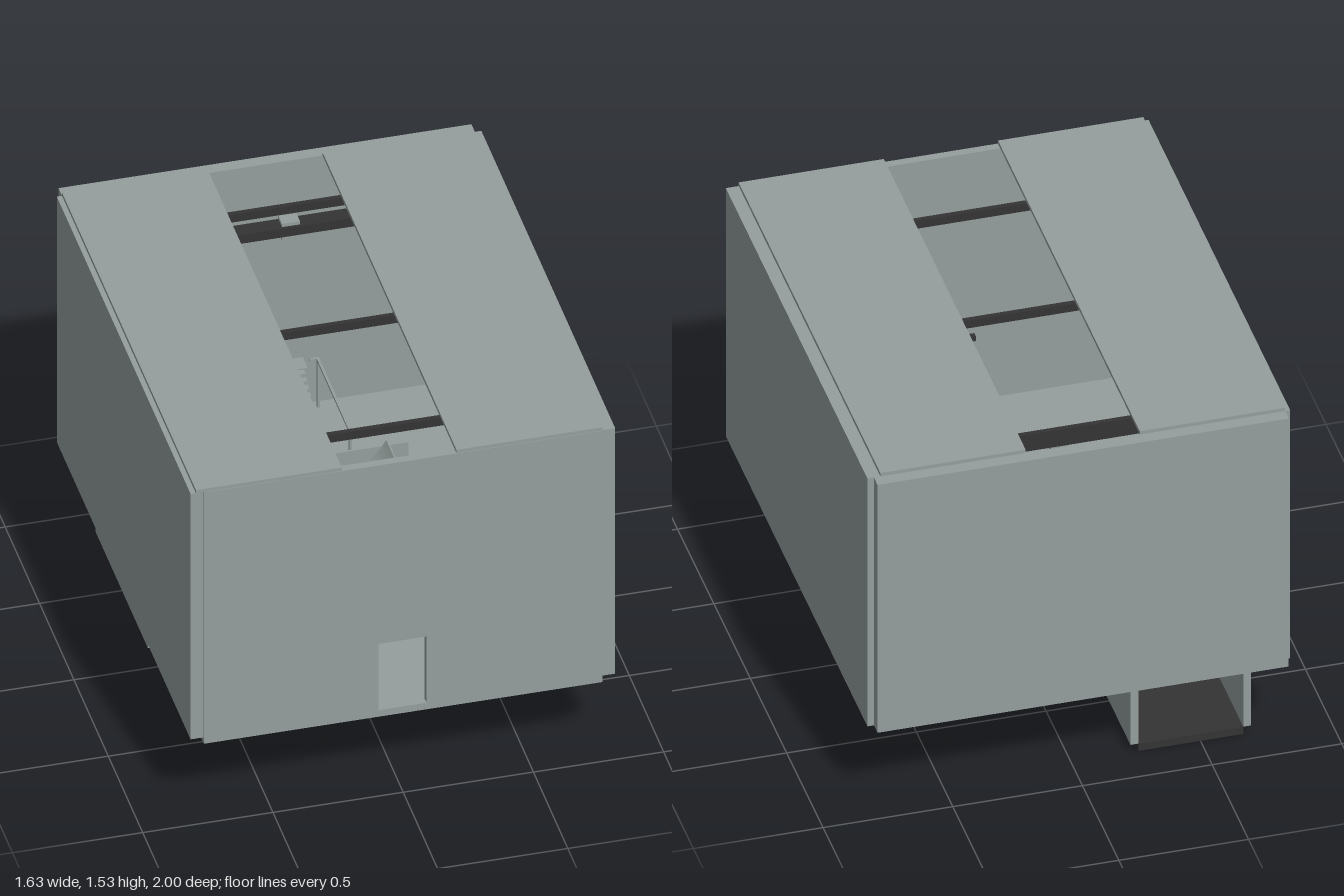
import * as THREE from 'three';

export function createModel() {
  const model = new THREE.Group();
  const concrete = new THREE.MeshStandardMaterial({ color: 0x959f9d });
  concrete.name = 'concrete grey';
  const steel = new THREE.MeshStandardMaterial({ color: 0x343434 });
  steel.name = 'dark steel';

  // Box given by its limits on each axis
  function block(name, x0, x1, y0, y1, z0, z1, material = concrete) {
    const mesh = new THREE.Mesh(new THREE.BoxGeometry(x1 - x0, y1 - y0, z1 - z0), material);
    mesh.position.set((x0 + x1) / 2, (y0 + y1) / 2, (z0 + z1) / 2);
    mesh.name = name;
    model.add(mesh);
    return mesh;
  }

  const floorY = 0.39, wallTop = 1.515;

  // Floor slab with an opening over the pit
  const slab = new THREE.Shape();
  slab.moveTo(-0.765, -0.998).lineTo(0.765, -0.998).lineTo(0.765, 0.95).lineTo(-0.765, 0.95).closePath();
  const opening = new THREE.Path();
  opening.moveTo(-0.665, 0.08).lineTo(-0.665, 0.84).lineTo(-0.26, 0.84).lineTo(-0.26, 0.08).closePath();
  slab.holes.push(opening);
  const floor = new THREE.Mesh(
    new THREE.ExtrudeGeometry(slab, { depth: 0.03, bevelEnabled: false }).rotateX(-Math.PI / 2), concrete);
  floor.position.y = 0.362;
  floor.name = 'floor';
  model.add(floor);

  // Outer walls
  block('leftWall', 0.765, 0.815, floorY, wallTop, -0.95, 0.996);
  block('rightWall', -0.815, -0.765, floorY, wallTop, -0.95, 0.996);
  block('backWall', -0.795, 0.79, floorY, wallTop, -1, -0.95);

  // Front wall in three panels around the doorway
  block('frontWallRight', -0.765, -0.095, floorY, wallTop, 0.967, 1);
  block('frontWallLeft', 0.09, 0.765, floorY, wallTop, 0.967, 1);
  block('frontWallOverDoor', -0.095, 0.09, 0.697, wallTop, 0.967, 1);
  block('doorLintel', -0.135, 0.125, 0.675, 0.697, 0.945, 0.966, steel);

  // Roof panels with an open strip between them
  block('roofPanelRight', -0.795, -0.235, wallTop, 1.53, -0.95, 0.998);
  block('roofPanelLeft', 0.205, 0.765, wallTop, 1.53, -0.95, 0.998);

  // Roof beams, each carried by a column on both side walls
  for (const z of [0.685, 0.015, -0.755]) {
    block('roofBeam', -0.765, 0.765, 1.425, 1.46, z - 0.01, z + 0.01, steel);
    for (const side of [-1, 1]) {
      const inner = side * 0.69, outer = side * 0.765;
      block('column', Math.min(inner, outer), Math.max(inner, outer), floorY, 1.425, z - 0.03, z + 0.03);
    }
  }

  // Travelling girder and hoist
  block('craneGirder', -0.765, 0.765, 1.37, 1.41, -0.744, -0.68, steel);
  block('hoist', -0.02, 0.05, 1.35, 1.425, -0.742, -0.69);

  // Pit below the floor, open at both ends
  block('pitFloor', -0.665, -0.26, 0, 0.033, -0.84, -0.08, steel);
  block('pitWallRight', -0.695, -0.665, 0.033, 0.362, -0.84, -0.08);
  block('pitWallLeft', -0.26, -0.23, 0.033, 0.362, -0.84, -0.08);
  block('underfloorHatch', -0.23, 0.23, 0.357, 0.362, -0.45, -0.23, steel);

  // Curved chute between two low side plates
  for (const z of [-0.44, -0.235]) {
    block('chuteSide', -0.04, 0.4, floorY, 0.525, z - 0.004, z + 0.004);
  }
  const radius = 0.3, sweep = new THREE.Shape();
  sweep.moveTo(0.05, 0.395);
  sweep.absarc(0.05, 0.395 + radius, radius, -Math.PI / 2, -0.5, false);
  sweep.absarc(0.05, 0.395 + radius, radius + 0.01, -0.5, -Math.PI / 2, true);
  sweep.closePath();
  const chute = new THREE.Mesh(
    new THREE.ExtrudeGeometry(sweep, { depth: 0.196, bevelEnabled: false, curveSegments: 16 }), concrete);
  chute.position.z = -0.436;
  chute.name = 'chute';
  model.add(chute);

  // Stair rising to a landing at the back wall
  const steps = 14, run = 0.39 / steps, rise = 0.21 / steps;
  for (let i = 0; i < steps; i++) {
    const front = -0.49 - i * run, top = floorY + (i + 1) * rise;
    block('stairStep', 0.06, 0.115, Math.max(floorY, top - 0.03), top, front - run, front);
  }
  block('landing', -0.155, 0.13, 0.585, 0.605, -0.95, -0.88);
  for (const x of [-0.15, 0.115]) block('landingPost', x, x + 0.01, floorY, 0.585, -0.895, -0.885);

  // Rail beside the stair
  block('sideRail', 0.175, 0.185, 0.6, 0.61, -0.92, -0.445);
  block('railBracket', 0.15, 0.185, 0.6, 0.61, -0.93, -0.92);
  for (const z of [-0.92, -0.455]) block('railPost', 0.175, 0.185, floorY, 0.6, z, z + 0.01);

  return model;
}
